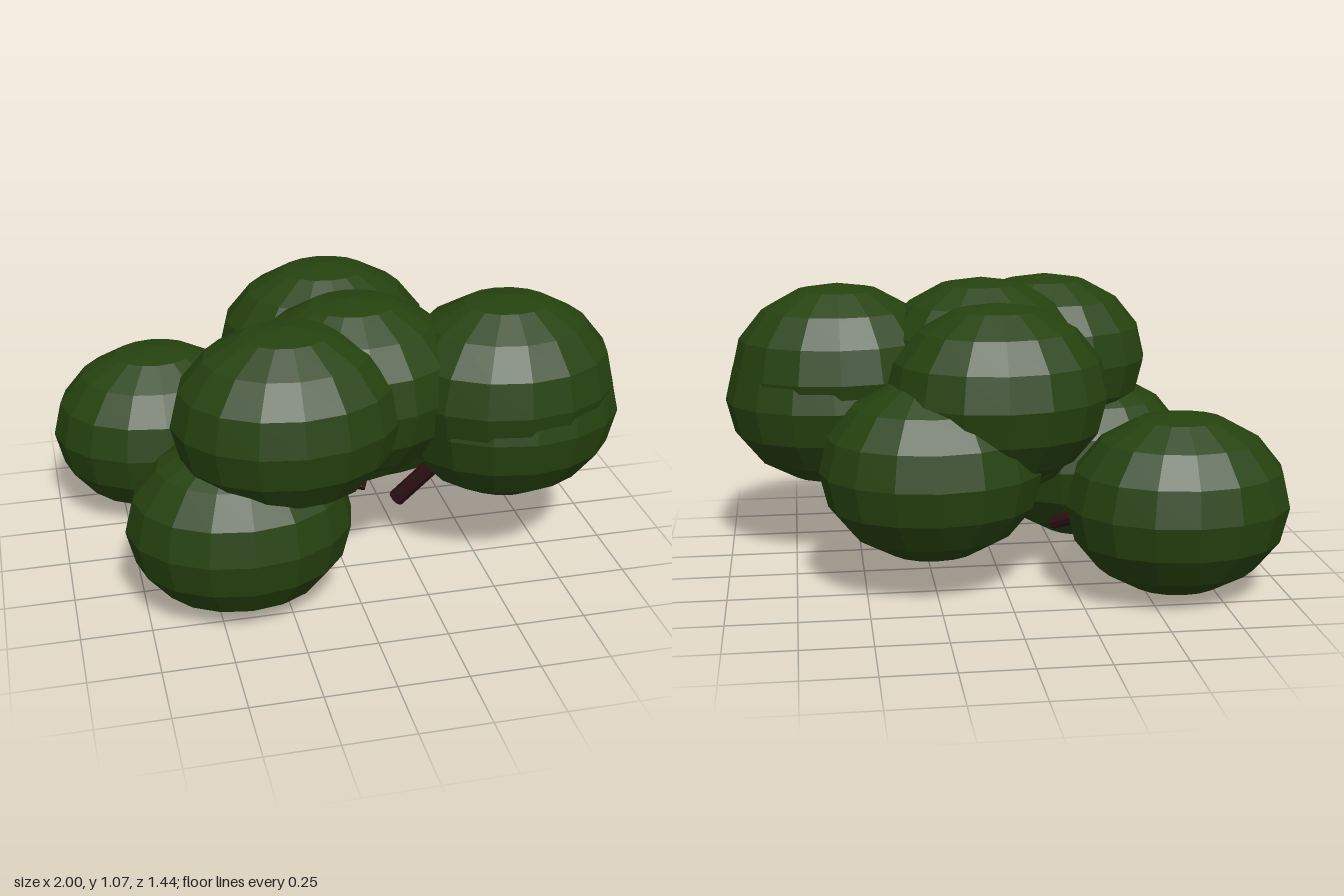
import * as THREE from 'three';

export function createModel() {
  const group = new THREE.Group();
  group.name = 'bush';

  const leafGreen = new THREE.MeshStandardMaterial({ color: 0x26420f, flatShading: true });
  leafGreen.name = 'leaf green';
  const barkBrown = new THREE.MeshStandardMaterial({ color: 0x2b0f11, flatShading: true });
  barkBrown.name = 'bark brown';

  // Foliage: equal faceted balls, wider than they are tall
  const ball = new THREE.SphereGeometry(1, 16, 8);
  const clumps = [
    ['backRightLowLeaves', -0.6, 0.352, -0.395],
    ['backLeftLeaves', 0.26, 0.465, -0.248],
    ['backTopLeaves', 0.02, 0.718, -0.198],
    ['frontTopLeaves', 0.03, 0.748, 0.22],
    ['coreLeaves', 0.05, 0.6, 0.02],
    ['leftUpperLeaves', 0.57, 0.728, 0.272],
    ['leftLowerLeaves', 0.597, 0.622, 0.268],
    ['frontRightTopLeaves', -0.24, 0.733, 0.388],
    ['frontRightLowLeaves', -0.41, 0.335, 0.37],
  ];
  for (const [name, x, y, z] of clumps) {
    const mesh = new THREE.Mesh(ball, leafGreen);
    mesh.name = name;
    mesh.scale.set(0.402, 0.33, 0.327);
    mesh.position.set(x, y, z);
    group.add(mesh);
  }

  // Branches: short sticks running from the middle into the foliage
  const up = new THREE.Vector3(0, 1, 0);
  function addBranch(name, from, to, radius) {
    const a = new THREE.Vector3(...from), b = new THREE.Vector3(...to);
    const dir = b.clone().sub(a);
    const mesh = new THREE.Mesh(new THREE.CylinderGeometry(radius, radius, dir.length(), 8), barkBrown);
    mesh.name = name;
    mesh.position.copy(a).add(b).multiplyScalar(0.5);
    mesh.quaternion.setFromUnitVectors(up, dir.normalize());
    group.add(mesh);
  }
  addBranch('leftBranch', [0.23, 0.19, 0.11], [0.48, 0.5, 0.21], 0.032);
  addBranch('middleStem', [0.02, 0.18, 0.02], [0.02, 0.42, 0.02], 0.024);
  addBranch('frontStem', [0.0, 0.18, 0.1], [0.01, 0.45, 0.17], 0.024);
  addBranch('frontRightBranch', [-0.04, 0.195, 0.16], [-0.28, 0.3, 0.28], 0.028);
  addBranch('backLeftTwig', [0.11, 0.2, 0.02], [0.2, 0.35, -0.12], 0.022);
  addBranch('backRightBranch', [-0.2, 0.195, -0.09], [-0.45, 0.32, -0.28], 0.024);

  return group;
}
